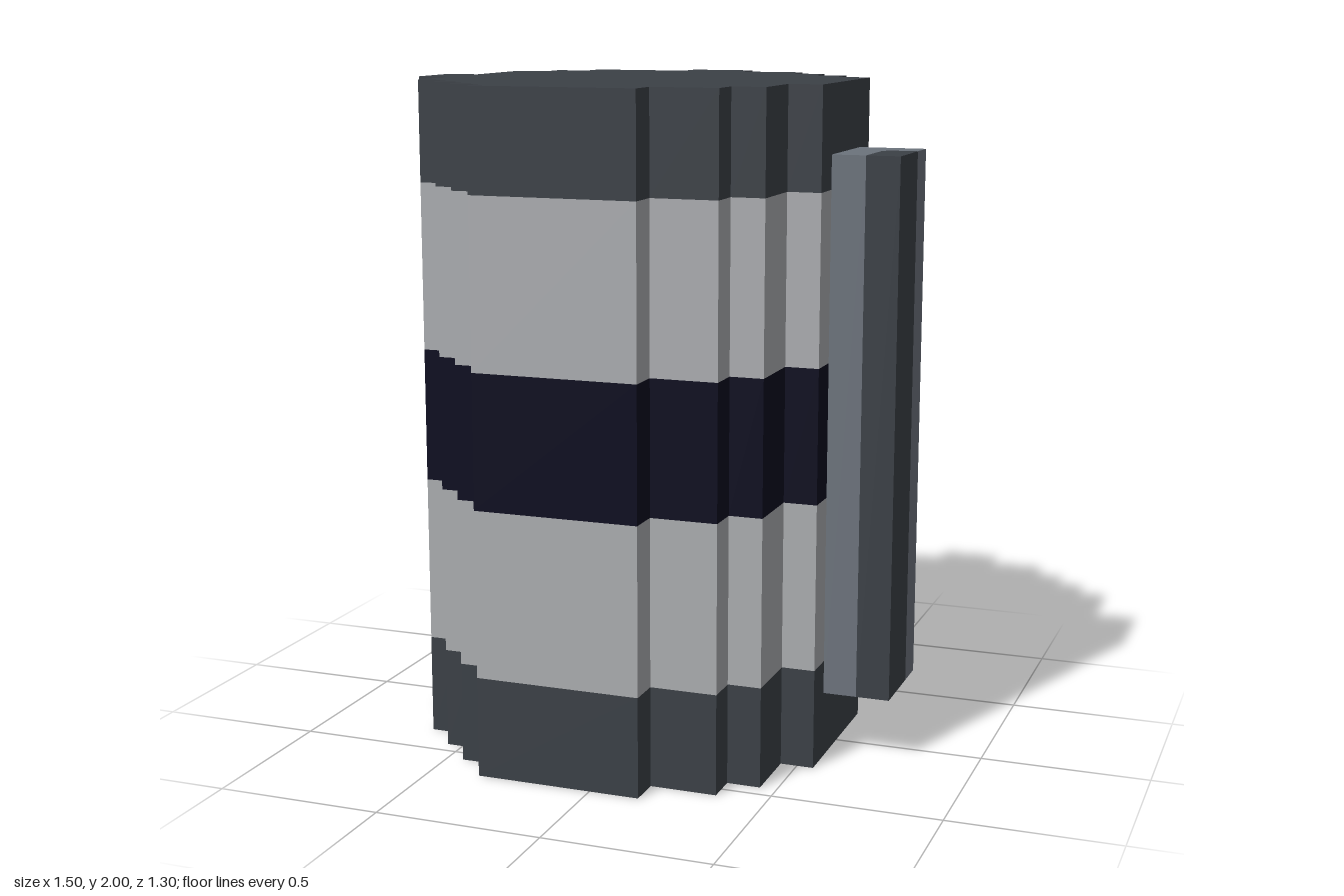
import * as THREE from 'three';
import { mergeGeometries } from 'three/addons/utils/BufferGeometryUtils.js';

const mat = (name, color) => new THREE.MeshStandardMaterial({ name, color });

// Stepped body outline as [x, z], counter-clockwise seen from above
const OUTLINE = [
  [-0.35, 0.65], [0.15, 0.65], [0.15, 0.55], [0.35, 0.55], [0.35, 0.45], [0.45, 0.45],
  [0.45, 0.25], [0.55, 0.25], [0.55, -0.25], [0.45, -0.25], [0.45, -0.35], [0.35, -0.35],
  [0.35, -0.45], [0.25, -0.45], [0.25, -0.55], [0.05, -0.55], [0.05, -0.65], [-0.15, -0.65],
  [-0.15, -0.55], [-0.45, -0.55], [-0.45, -0.45], [-0.55, -0.45], [-0.55, -0.35], [-0.65, -0.35],
  [-0.65, -0.05], [-0.75, -0.05], [-0.75, 0.15], [-0.65, 0.15], [-0.65, 0.35], [-0.55, 0.35],
  [-0.55, 0.45], [-0.45, 0.45], [-0.45, 0.55], [-0.35, 0.55],
];

// Upright flat walls along a path of [x, z] points
function walls(path, y0, y1) {
  const pos = [], uv = [];
  for (let i = 0; i + 1 < path.length; i++) {
    const [ax, az] = path[i], [bx, bz] = path[i + 1];
    pos.push(ax, y0, az, bx, y0, bz, bx, y1, bz, ax, y0, az, bx, y1, bz, ax, y1, az);
    uv.push(0, 0, 1, 0, 1, 1, 0, 0, 1, 1, 0, 1);
  }
  const g = new THREE.BufferGeometry();
  g.setAttribute('position', new THREE.Float32BufferAttribute(pos, 3));
  g.setAttribute('uv', new THREE.Float32BufferAttribute(uv, 2));
  g.computeVertexNormals();
  return g;
}

// Flat lid over an outline, facing up (1) or down (-1)
function lid(points, y, facing) {
  const shape = new THREE.Shape(points.map(([x, z]) => new THREE.Vector2(x, -facing * z)));
  return new THREE.ShapeGeometry(shape).rotateX(-facing * Math.PI / 2).translate(0, y, 0).toNonIndexed();
}

export function createModel() {
  const charcoal = mat('charcoal', 0x3b4046);
  const silver = mat('silver', 0xaaacaf);
  const navy = mat('navy', 0x0b0b1f);
  const slate = mat('slate', 0x6c737c);

  const model = new THREE.Group();
  model.name = 'canister';
  const add = (parent, name, material, ...geometries) => {
    const mesh = new THREE.Mesh(mergeGeometries(geometries), material);
    mesh.name = name;
    parent.add(mesh);
  };

  // Body: stacked colour bands
  const ring = [...OUTLINE, OUTLINE[0]];
  add(model, 'baseCap', charcoal, walls(ring, 0, 0.3), lid(OUTLINE, 0, -1));
  add(model, 'lowerBand', silver, walls(ring, 0.3, 0.8));
  add(model, 'middleStripe', navy, walls(ring, 0.8, 1.2));
  add(model, 'upperBand', silver, walls(ring, 1.2, 1.7));
  add(model, 'topCap', charcoal, walls(ring, 1.7, 2), lid(OUTLINE, 2, 1));

  // Side bar: slate block with a charcoal front outer corner
  const bar = new THREE.Group();
  bar.name = 'sideBar';
  model.add(bar);
  const y0 = 0.2, y1 = 1.8;
  const bend = [[0.68, -0.05], [0.66, -0.04], [0.65, -0.02]];
  const dark = [[0.65, 0.15], [0.75, 0.15], [0.75, -0.05], ...bend];
  const light = [[0.55, 0.15], [0.65, 0.15], ...[...bend].reverse(),
    [0.75, -0.05], [0.75, -0.15], [0.55, -0.15]];
  add(bar, 'barCorner', charcoal,
    walls(dark.slice(0, 3), y0, y1), lid(dark, y1, 1), lid(dark, y0, -1));
  add(bar, 'barBody', slate,
    walls(light.slice(0, 2), y0, y1), walls([...light.slice(5), light[0]], y0, y1),
    lid(light, y1, 1), lid(light, y0, -1));

  return model;
}
